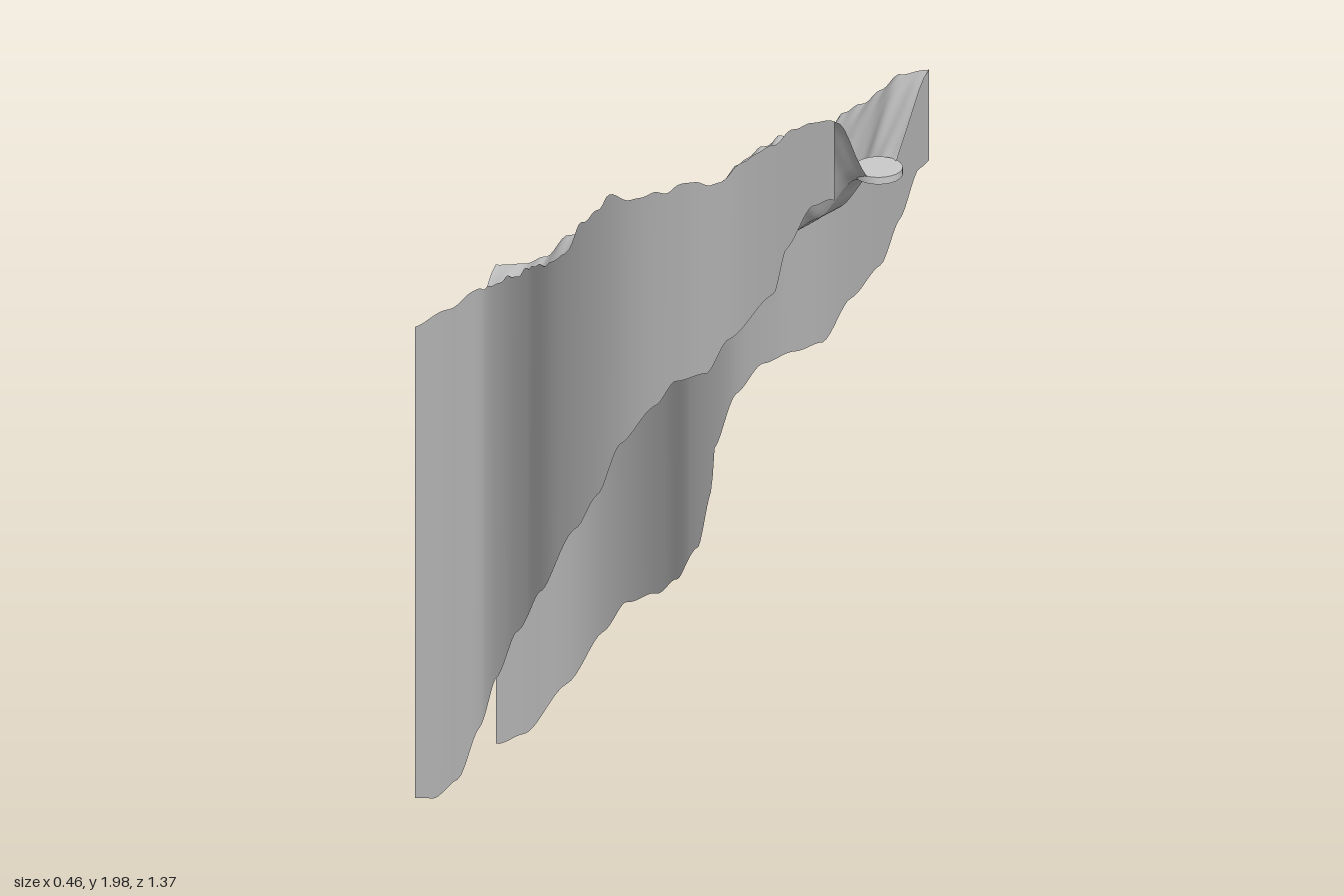
import * as THREE from 'three';

const STEPS = 160;
const material = new THREE.MeshStandardMaterial({ color: 0xcccccc, side: THREE.DoubleSide });

// Centre line of the ravine, front to back, as (x, z)
const path = new THREE.CatmullRomCurve3([
  [-0.015, 0.643], [-0.04, 0.4], [-0.067, 0.24], [-0.076, 0.1], [-0.04, -0.08],
  [0.02, -0.22], [0.057, -0.34], [0.069, -0.44], [0.053, -0.54], [0.032, -0.637],
].map(([x, z]) => new THREE.Vector3(x, 0, z)));

// Heights along z, as [z, y], running front to back
const leftRim = [[0.65, 1.98], [0.6, 1.96], [0.55, 1.93], [0.5, 1.88], [0.42, 1.82], [0.36, 1.75], [0.28, 1.73],
  [0.2, 1.68], [0.12, 1.645], [0.06, 1.63], [0.03, 1.59], [-0.03, 1.53], [-0.1, 1.43], [-0.15, 1.39],
  [-0.25, 1.335], [-0.32, 1.28], [-0.45, 1.2], [-0.53, 1.13], [-0.61, 1.07]];
const rightRim = [[0.65, 2], [0.62, 1.98], [0.55, 1.95], [0.5, 1.9], [0.45, 1.85], [0.4, 1.82], [0.36, 1.75],
  [0.24, 1.72], [0.2, 1.68], [0.15, 1.64], [0.1, 1.58], [0.06, 1.54], [0.045, 1.49], [0, 1.44], [-0.1, 1.38],
  [-0.2, 1.32], [-0.3, 1.305], [-0.4, 1.26], [-0.5, 1.2], [-0.55, 1.14], [-0.6, 1.11], [-0.67, 1.09]];
const leftFoot = [[0.65, 1.8], [0.6, 1.77], [0.53, 1.65], [0.5, 1.54], [0.38, 1.4], [0.33, 1.31], [0.25, 1.27],
  [0.2, 1.2], [0.1, 1.08], [0.03, 0.94], [-0.05, 0.83], [-0.2, 0.62], [-0.32, 0.47], [-0.4, 0.33],
  [-0.45, 0.2], [-0.5, 0.07], [-0.56, 0.01], [-0.61, 0]];
const rightFoot = [[0.65, 1.8], [0.6, 1.75], [0.55, 1.62], [0.5, 1.5], [0.42, 1.4], [0.35, 1.28], [0.28, 1.24],
  [0.2, 1.19], [0.13, 1.1], [0.06, 0.95], [0.05, 0.85], [0, 0.7], [-0.1, 0.58], [-0.2, 0.5], [-0.32, 0.43],
  [-0.4, 0.33], [-0.5, 0.18], [-0.6, 0.04], [-0.665, 0]];
const floorLine = [[0.65, 1.81], [0.6, 1.79], [0.5, 1.67], [0.42, 1.61], [0.33, 1.55], [0.2, 1.5], [0.1, 1.44],
  [0, 1.33], [-0.15, 1.2], [-0.3, 1.12], [-0.4, 1.07], [-0.5, 0.97], [-0.58, 0.92], [-0.65, 0.91]];
// Slope of a wall: [distance from centre, fraction of its height]
const slope = [[0.035, 0], [0.05, 0.06], [0.065, 0.2], [0.085, 0.4], [0.105, 0.62], [0.122, 0.8], [0.137, 0.92], [0.155, 1]];

// Smoothly interpolated height from a table
function heightAt(table, z) {
  if (z >= table[0][0]) return table[0][1];
  for (let i = 1; i < table.length; i++) {
    const [z0, y0] = table[i - 1], [z1, y1] = table[i];
    if (z >= z1) {
      const t = (z0 - z) / (z0 - z1);
      return y0 + (y1 - y0) * (0.5 * t + 0.5 * t * t * (3 - 2 * t));
    }
  }
  return table[table.length - 1][1];
}

// Point at a signed distance to the side of the centre line
function offsetPoint(u, d) {
  const c = path.getPointAt(u), t = path.getTangentAt(u);
  return new THREE.Vector3(c.x - t.z * d, 0, c.z + t.x * d);
}

// Sheet made from cross-sections; section(u) returns a row of points
function sheet(name, section) {
  const positions = [], index = [];
  let n = 0;
  for (let i = 0; i <= STEPS; i++) {
    const row = section(i / STEPS);
    n = row.length;
    row.forEach((p) => positions.push(p.x, p.y, p.z));
    for (let j = 0; i < STEPS && j < n - 1; j++) {
      const a = i * n + j, b = a + n;
      index.push(a, a + 1, b, b, a + 1, b + 1);
    }
  }
  const geometry = new THREE.BufferGeometry();
  geometry.setAttribute('position', new THREE.Float32BufferAttribute(positions, 3));
  geometry.setIndex(index);
  geometry.computeVertexNormals();
  const mesh = new THREE.Mesh(geometry, material);
  mesh.name = name;
  return mesh;
}

// Small ripples that roughen the rock
const ripple = (u, s) => 0.004 * Math.sin(u * 95 + s) + 0.003 * Math.sin(u * 171 + 2 * s);

export function createModel() {
  const group = new THREE.Group();
  group.name = 'ravine';
  const floorY = (u) => heightAt(floorLine, path.getPointAt(u).z);

  // Flat winding path
  group.add(sheet('pathFloor', (u) => [-0.035, 0, 0.035].map((d) => offsetPoint(u, d).setY(floorY(u)))));

  for (const [side, label, rim, foot] of [[-1, 'right', leftRim, leftFoot], [1, 'left', rightRim, rightFoot]]) {
    const rimPoint = (u) => {
      const p = offsetPoint(u, side * 0.155);
      return p.setY(heightAt(rim, p.z) + ripple(u, side) * Math.sin(Math.PI * u));
    };
    // Sloping inner rock wall
    group.add(sheet(label + 'Slope', (u) => {
      const base = floorY(u), top = rimPoint(u).y;
      const row = slope.map(([d, f]) => offsetPoint(u, side * d)
        .setY(base + (top - base) * f + 4 * f * (1 - f) * ripple(u, side + f * 2)));
      return side > 0 ? row : row.reverse();
    }));
    // Vertical outer cliff
    group.add(sheet(label + 'Cliff', (u) => {
      const top = rimPoint(u);
      const row = [top, top.clone().setY(heightAt(foot, top.z))];
      return side > 0 ? row : row.reverse();
    }));
  }

  // Round landing at each end of the path
  for (const [name, u] of [['frontLanding', 0], ['backLanding', 1]]) {
    const landing = new THREE.Mesh(new THREE.CylinderGeometry(0.05, 0.05, 0.016, 32), material);
    landing.name = name;
    landing.position.copy(path.getPointAt(u)).setY(floorY(u));
    landing.position.z += u ? -0.003 : -0.01;
    group.add(landing);
  }
  return group;
}
